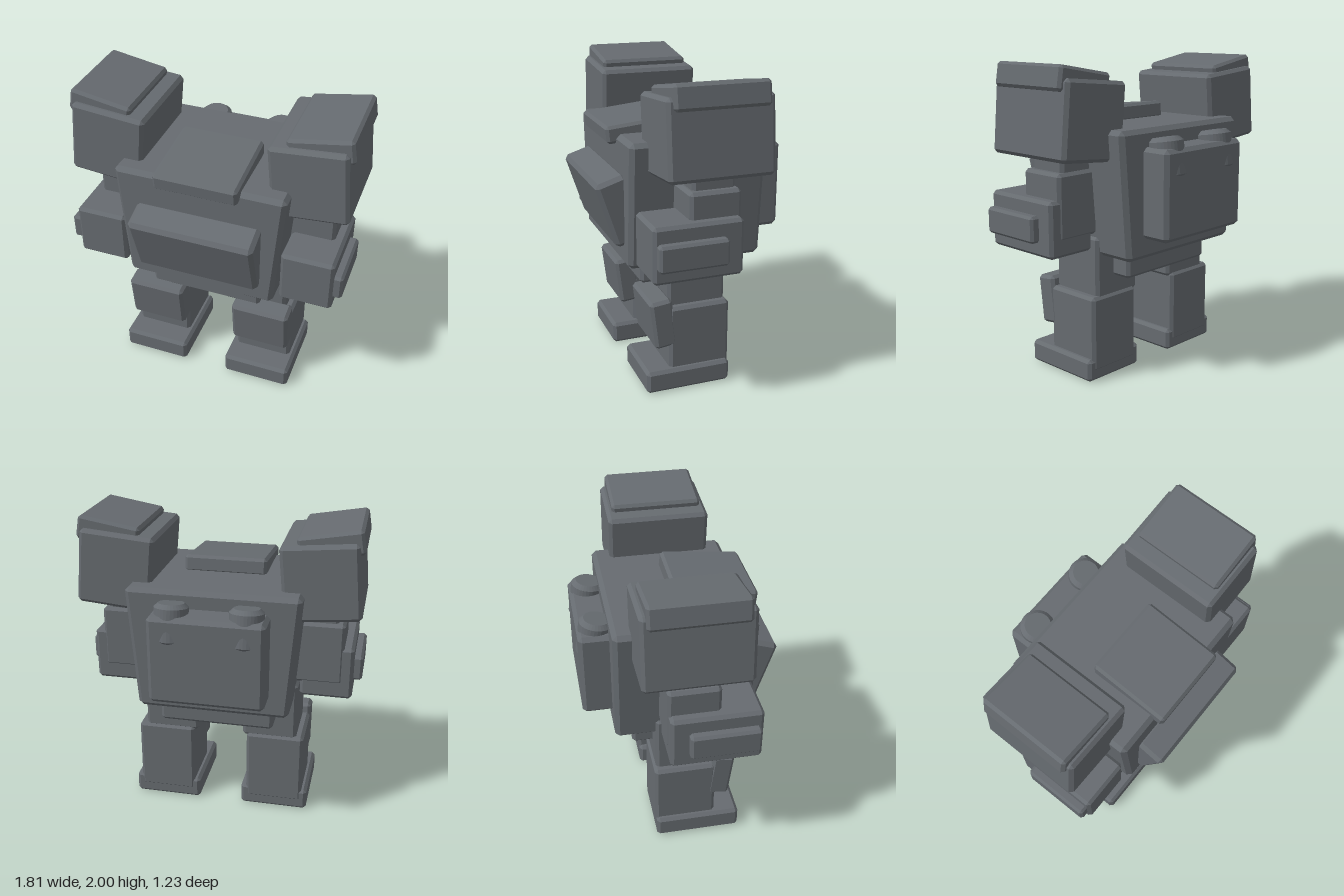
import * as THREE from 'three';
import { ConvexGeometry } from 'three/addons/geometries/ConvexGeometry.js';

const steel = new THREE.MeshStandardMaterial({ color: 0x666b70 });
steel.name = 'steel grey';

// Box with flat chamfered edges; taper widens the top and narrows the bottom in x
function chamferBox(w, h, d, bevel = 0.02, taper = 0) {
  const points = [];
  for (const sx of [-1, 1]) for (const sy of [-1, 1]) for (const sz of [-1, 1]) {
    for (let axis = 0; axis < 3; axis++) {
      const half = [w, h, d].map((v, i) => v / 2 - (i === axis ? 0 : bevel));
      const y = sy * half[1];
      points.push(new THREE.Vector3(sx * (half[0] + taper * y / h), y, sz * half[2]));
    }
  }
  return new ConvexGeometry(points);
}

function add(group, name, geometry, [x, y, z], [rx, rz] = [0, 0]) {
  const mesh = new THREE.Mesh(geometry, steel);
  mesh.name = name;
  mesh.position.set(x, y, z);
  mesh.rotation.set(rx, 0, rz);
  group.add(mesh);
}

export function createModel() {
  const model = new THREE.Group();
  model.name = 'robot';

  // Body
  add(model, 'torso', chamferBox(1.03, 0.8, 0.87, 0.028, 0.065), [0, 1.21, 0.005]);
  add(model, 'hips', chamferBox(0.74, 0.2, 0.64, 0.02), [0, 0.76, 0.01]);
  add(model, 'chestPlate', chamferBox(0.8, 0.43, 0.2, 0.025), [0, 1.16, 0.455], [0.31, 0]);
  add(model, 'headHood', chamferBox(0.53, 0.11, 0.52, 0.018), [0, 1.627, 0.24], [0.1, 0]);
  add(model, 'backpack', chamferBox(0.72, 0.56, 0.26, 0.025), [0, 1.22, -0.485]);

  // Exhaust drum with chamfered rims, measured down from its top
  const drum = new THREE.LatheGeometry([
    [0, -0.25], [0.08, -0.25], [0.106, -0.225], [0.106, -0.025], [0.08, 0], [0, 0],
  ].map(([r, y]) => new THREE.Vector2(r, y)), 32).toNonIndexed();
  drum.computeVertexNormals();

  for (const side of [1, -1]) {
    const name = side > 0 ? 'left' : 'right';
    add(model, name + 'Exhaust', drum, [0.23 * side, 1.557, -0.487], [0.15, 0]);

    // Arm, from the tilted shoulder down
    const arm = new THREE.Group();
    arm.name = name + 'Arm';
    add(arm, 'shoulder', chamferBox(0.475, 0.475, 0.65, 0.022), [0.637 * side, 1.668, 0.005], [0, 0.09 * side]);
    add(arm, 'shoulderCap', chamferBox(0.395, 0.15, 0.58, 0.018), [0.684 * side, 1.895, 0.005], [0, 0.17 * side]);
    add(arm, 'shoulderJoint', chamferBox(0.25, 0.2, 0.27, 0.02), [0.62 * side, 1.4, 0]);
    add(arm, 'upperArm', chamferBox(0.31, 0.41, 0.322, 0.02), [0.635 * side, 1.155, 0.004]);
    add(arm, 'forearm', chamferBox(0.335, 0.35, 0.56, 0.02), [0.685 * side, 1.025, 0.13]);
    add(arm, 'forearmPod', chamferBox(0.12, 0.165, 0.43, 0.016), [0.847 * side, 1.022, 0.175]);
    model.add(arm);

    // Leg
    const leg = new THREE.Group();
    leg.name = name + 'Leg';
    add(leg, 'thigh', chamferBox(0.36, 0.4, 0.38, 0.02), [0.33 * side, 0.73, 0.01]);
    add(leg, 'shin', chamferBox(0.38, 0.49, 0.4, 0.02), [0.37 * side, 0.307, 0.005]);
    add(leg, 'kneePlate', chamferBox(0.385, 0.32, 0.145, 0.02), [0.37 * side, 0.448, 0.242], [0.12, 0]);
    add(leg, 'foot', chamferBox(0.45, 0.145, 0.555, 0.02), [0.37 * side, 0.0725, 0.088]);
    model.add(leg);
  }
  return model;
}
